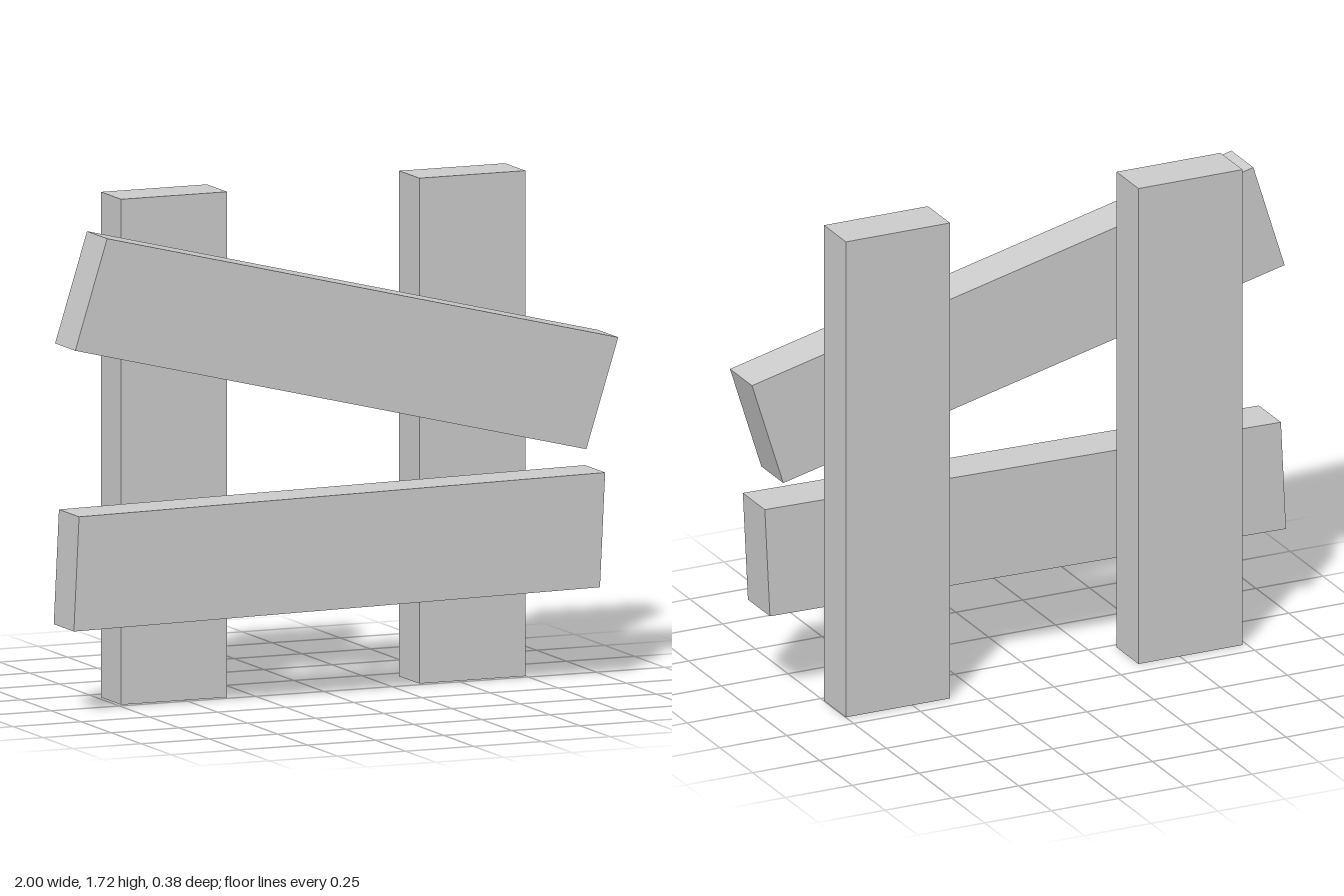
import * as THREE from 'three';

const DEPTH = 0.168;
const GAP = 0.021; // distance of each layer from the z = 0 plane

export function createModel() {
  const group = new THREE.Group();
  const material = new THREE.MeshStandardMaterial({ color: 0xcccccc, flatShading: true });

  // Upright posts, behind the rails
  const posts = [['rightPost', -0.54], ['leftPost', 0.554]];
  for (const [name, x] of posts) {
    const post = new THREE.Mesh(new THREE.BoxGeometry(0.389, 1.72, DEPTH), material);
    post.name = name;
    post.position.set(x, 0.86, -GAP - DEPTH / 2);
    group.add(post);
  }

  // Skewed rails, given by their front outline (counter-clockwise)
  const rails = {
    upperRail: [[-0.995, 1.253], [0.88, 0.795], [0.997, 1.168], [-0.878, 1.627]],
    lowerRail: [[-1, 0.298], [0.93, 0.322], [0.949, 0.711], [-0.981, 0.687]],
  };
  for (const [name, corners] of Object.entries(rails)) {
    const shape = new THREE.Shape(corners.map(([x, y]) => new THREE.Vector2(x, y)));
    const geometry = new THREE.ExtrudeGeometry(shape, { depth: DEPTH, bevelEnabled: false });
    const rail = new THREE.Mesh(geometry, material);
    rail.name = name;
    rail.position.z = GAP;
    group.add(rail);
  }

  return group;
}
